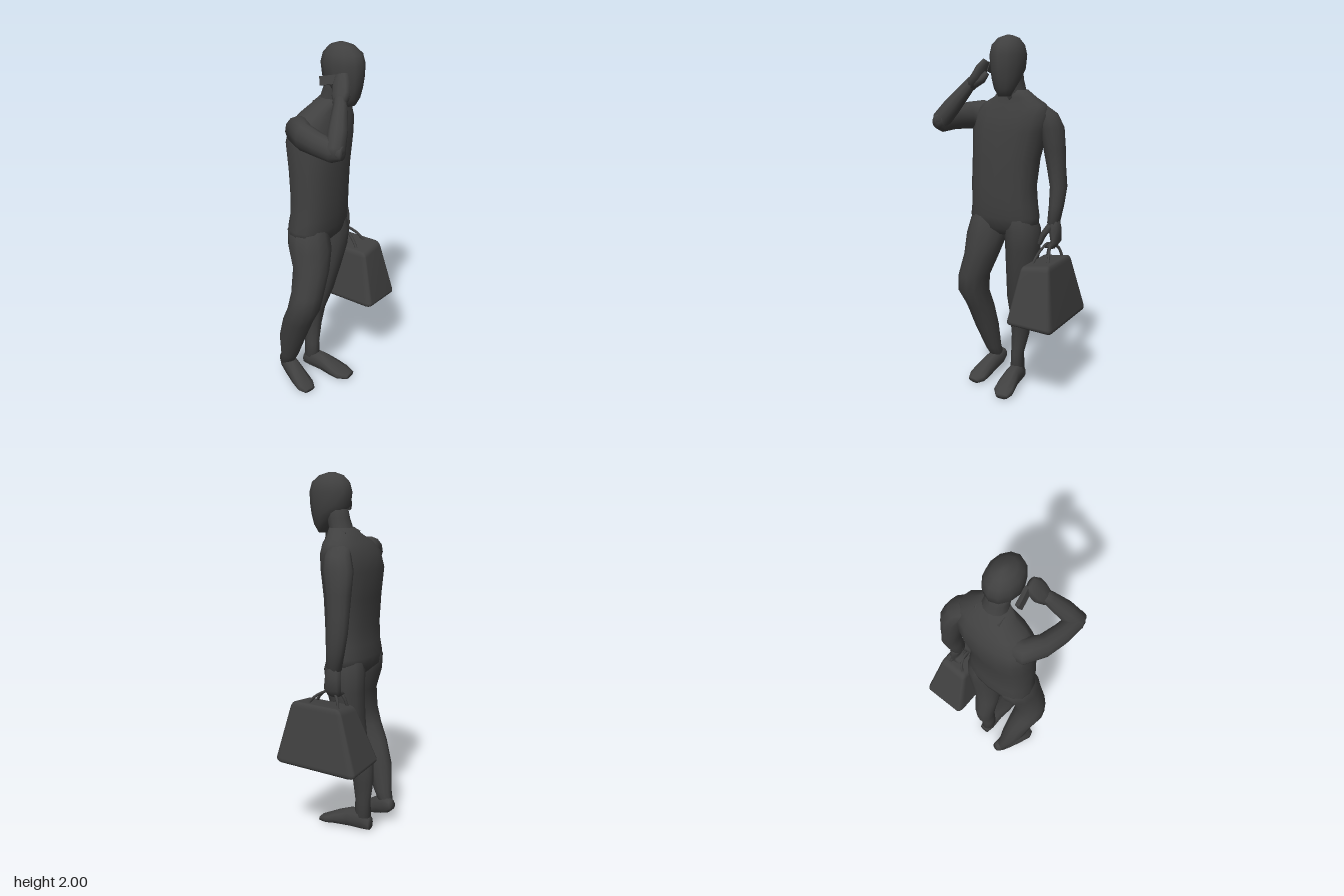
import * as THREE from 'three';
import { mergeVertices } from 'three/addons/utils/BufferGeometryUtils.js';
import { RoundedBoxGeometry } from 'three/addons/geometries/RoundedBoxGeometry.js';

const V = (x, y, z) => new THREE.Vector3(x, y, z);
const charcoal = new THREE.MeshStandardMaterial({ color: 0x404040 });
charcoal.name = 'charcoal';

// Closed loft through sections [x, y, z, half width, half depth].
// With an axis every ring is parallel; without one, rings follow the path.
function loft(sections, { axis = null, side = V(1, 0, 0), n = 12, square = 1 } = {}) {
  const centres = sections.map(s => V(s[0], s[1], s[2]));
  const pos = [], index = [], last = sections.length - 1;
  const power = c => Math.sign(c) * Math.pow(Math.abs(c), square);
  sections.forEach(([, , , a, b], i) => {
    const t = axis ? axis.clone()
      : centres[Math.min(i + 1, last)].clone().sub(centres[Math.max(i - 1, 0)]).normalize();
    const u = side.clone().addScaledVector(t, -side.dot(t)).normalize();
    const v = t.clone().cross(u);
    for (let j = 0; j < n; j++) {
      const w = (j / n) * Math.PI * 2;
      const p = centres[i].clone()
        .addScaledVector(u, a * power(Math.cos(w)))
        .addScaledVector(v, b * power(Math.sin(w)));
      pos.push(p.x, Math.max(p.y, 0), p.z);
      if (i < last) {
        const k = i * n + j, m = i * n + (j + 1) % n;
        index.push(k, m, m + n, k, m + n, k + n);
      }
    }
  });
  // end caps
  const first = pos.length / 3;
  [centres[0], centres[last]].forEach(c => pos.push(c.x, c.y, c.z));
  for (let j = 0; j < n; j++) {
    const m = (j + 1) % n;
    index.push(first, m, j, first + 1, last * n + j, last * n + m);
  }
  const g = new THREE.BufferGeometry();
  g.setAttribute('position', new THREE.Float32BufferAttribute(pos, 3));
  g.setIndex(index);
  g.computeVertexNormals();
  return g;
}

export function createModel() {
  const model = new THREE.Group();
  model.name = 'walkingMan';
  const add = (name, geometry) => {
    const mesh = new THREE.Mesh(geometry, charcoal);
    mesh.name = name;
    model.add(mesh);
    return mesh;
  };
  const level = { axis: V(0, 1, 0) };

  // Trunk, neck and head
  add('torso', loft([
    [-0.055, 0.93, -0.05, 0.12, 0.07], [-0.063, 0.97, -0.05, 0.195, 0.11],
    [-0.063, 1.03, -0.048, 0.2, 0.12],
    [-0.06, 1.1, -0.04, 0.19, 0.12], [-0.062, 1.2, -0.035, 0.187, 0.12],
    [-0.052, 1.35, -0.042, 0.193, 0.127], [-0.035, 1.5, -0.052, 0.212, 0.137],
    [-0.015, 1.59, -0.05, 0.218, 0.118], [0.0, 1.645, -0.04, 0.18, 0.095],
    [0.01, 1.68, -0.028, 0.12, 0.076], [0.013, 1.72, -0.01, 0.075, 0.058],
  ], { axis: V(0, 1, 0), n: 16, square: 0.84 }));
  add('neck', loft([
    [0.013, 1.64, -0.03, 0.085, 0.08], [0.013, 1.7, -0.012, 0.07, 0.062],
    [0.013, 1.77, 0.012, 0.062, 0.062], [0.013, 1.86, 0.035, 0.062, 0.065],
  ], level));
  add('head', loft([
    [0.013, 1.69, 0.102, 0.034, 0.026], [0.013, 1.73, 0.1, 0.056, 0.052],
    [0.013, 1.78, 0.078, 0.074, 0.088], [0.013, 1.83, 0.06, 0.085, 0.115],
    [0.013, 1.9, 0.057, 0.091, 0.121], [0.013, 1.95, 0.057, 0.08, 0.107],
    [0.013, 1.985, 0.053, 0.052, 0.068], [0.013, 2.0, 0.05, 0.014, 0.02],
  ], level));
  for (const s of [-1, 1]) {
    const tab = add(s < 0 ? 'rightCollar' : 'leftCollar', new THREE.BoxGeometry(0.022, 0.05, 0.05));
    tab.position.set(0.01 + s * 0.072, 1.685, -0.045);
    tab.rotation.set(-0.4, 0, s * 0.4);
  }

  // Left arm hanging, hand closed on the bag handles
  add('leftArm', loft([
    [0.215, 1.0, -0.09, 0.034, 0.042], [0.225, 1.1, -0.105, 0.04, 0.052],
    [0.23, 1.2, -0.118, 0.045, 0.06], [0.217, 1.3, -0.117, 0.05, 0.062],
    [0.207, 1.4, -0.112, 0.058, 0.07], [0.192, 1.52, -0.1, 0.066, 0.085],
    [0.165, 1.595, -0.082, 0.064, 0.07], [0.11, 1.645, -0.06, 0.055, 0.05],
  ], level));
  add('leftHand', loft([
    [0.214, 1.03, -0.09, 0.035, 0.035], [0.226, 0.96, -0.09, 0.05, 0.032],
    [0.232, 0.9, -0.09, 0.053, 0.024], [0.215, 0.872, -0.09, 0.05, 0.018],
    [0.18, 0.872, -0.09, 0.045, 0.014],
  ], { side: V(0, 0, 1), n: 8 }));
  add('leftThumb', loft([
    [0.21, 0.99, -0.06, 0.022, 0.02], [0.175, 0.94, -0.045, 0.018, 0.018],
    [0.155, 0.885, -0.04, 0.012, 0.012],
  ], { side: V(0, 0, 1), n: 6 }));

  // Right arm raised, hand beside the ear
  add('rightUpperArm', loft([
    [-0.1, 1.57, -0.07, 0.06, 0.06], [-0.205, 1.58, -0.06, 0.068, 0.078],
    [-0.258, 1.578, 0.02, 0.054, 0.072], [-0.283, 1.57, 0.12, 0.052, 0.062],
    [-0.295, 1.56, 0.22, 0.047, 0.058], [-0.293, 1.56, 0.272, 0.03, 0.035],
  ]));
  add('rightForearm', loft([
    [-0.31, 1.535, 0.24, 0.03, 0.03], [-0.295, 1.565, 0.23, 0.05, 0.05],
    [-0.24, 1.64, 0.205, 0.05, 0.046], [-0.165, 1.74, 0.165, 0.036, 0.032],
    [-0.145, 1.77, 0.15, 0.03, 0.028],
  ], { side: V(0, 0, 1), n: 10 }));
  add('rightHand', loft([
    [-0.16, 1.74, 0.16, 0.036, 0.03], [-0.125, 1.785, 0.143, 0.052, 0.03],
    [-0.105, 1.83, 0.13, 0.05, 0.026], [-0.085, 1.87, 0.115, 0.034, 0.014],
  ], { side: V(0, 0, 1), n: 8 }));
  add('rightThumb', loft([
    [-0.13, 1.75, 0.16, 0.022, 0.02], [-0.09, 1.775, 0.155, 0.022, 0.02],
    [-0.065, 1.81, 0.145, 0.014, 0.014],
  ], { side: V(0, 0, 1), n: 6 }));
  const fingers = add('rightFingers', new THREE.BoxGeometry(0.022, 0.045, 0.1));
  fingers.position.set(-0.098, 1.835, 0.055);
  fingers.rotation.set(-0.2, 0.2, -0.25);

  // Left leg straight, right leg bent with the heel lifted
  add('leftLeg', loft([
    [-0.025, 0.08, -0.13, 0.04, 0.05], [-0.025, 0.18, -0.13, 0.036, 0.046],
    [-0.01, 0.3, -0.14, 0.05, 0.06], [-0.003, 0.42, -0.13, 0.062, 0.07],
    [0.01, 0.55, -0.09, 0.074, 0.075], [0.03, 0.7, -0.07, 0.087, 0.09],
    [0.045, 0.85, -0.055, 0.096, 0.11], [0.046, 0.96, -0.05, 0.098, 0.118],
    [0.03, 1.04, -0.045, 0.085, 0.1], [0.02, 1.12, -0.04, 0.05, 0.06],
  ], level));
  add('rightLeg', loft([
    [-0.19, 0.1, -0.195, 0.036, 0.04], [-0.205, 0.18, -0.16, 0.046, 0.054],
    [-0.225, 0.33, -0.118, 0.067, 0.08], [-0.237, 0.47, -0.065, 0.076, 0.09],
    [-0.25, 0.57, -0.012, 0.088, 0.092], [-0.237, 0.67, 0.005, 0.09, 0.09],
    [-0.19, 0.8, -0.003, 0.1, 0.1], [-0.166, 0.92, -0.028, 0.116, 0.12],
    [-0.158, 1.01, -0.045, 0.103, 0.115], [-0.14, 1.12, -0.04, 0.06, 0.07],
  ], level));
  add('leftFoot', loft([
    [-0.025, 0.04, -0.18, 0.03, 0.036], [-0.025, 0.06, -0.13, 0.042, 0.06],
    [-0.02, 0.055, -0.05, 0.045, 0.055], [-0.014, 0.038, 0.03, 0.058, 0.038],
    [-0.008, 0.025, 0.08, 0.062, 0.026], [0.004, 0.015, 0.13, 0.038, 0.015],
  ], { axis: V(0, 0, 1), n: 10, square: 0.8 }));
  add('rightFoot', loft([
    [-0.172, 0.115, -0.24, 0.024, 0.028], [-0.185, 0.105, -0.2, 0.038, 0.052],
    [-0.205, 0.08, -0.14, 0.044, 0.052], [-0.225, 0.047, -0.07, 0.053, 0.04],
    [-0.237, 0.026, -0.02, 0.058, 0.026], [-0.246, 0.015, 0.018, 0.036, 0.015],
  ], { n: 10, square: 0.8 }));

  // Travel bag: a soft box tapered towards the top, one bottom edge higher
  const box = new RoundedBoxGeometry(1, 1, 1, 2, 0.09);
  box.deleteAttribute('normal');
  box.deleteAttribute('uv');
  const bag = mergeVertices(box, 1e-4);
  const p = bag.attributes.position;
  for (let i = 0; i < p.count; i++) {
    const x = p.getX(i), t = p.getY(i) + 0.5, z = p.getZ(i);
    p.setXYZ(i,
      0.206 + x * THREE.MathUtils.lerp(0.274, 0.165, t),
      THREE.MathUtils.lerp(0.47 - x * 0.02, 0.805 + x * 0.02, t),
      THREE.MathUtils.lerp(-0.035, -0.015, t) + z * THREE.MathUtils.lerp(0.52, 0.305, t));
  }
  bag.computeVertexNormals();
  add('bag', bag);

  // Bag handles meeting in the hand
  for (const s of [-1, 1]) {
    const x = 0.205 + s * 0.05;
    const path = new THREE.CatmullRomCurve3([
      V(x, 0.78, 0.07), V(0.205 + s * 0.03, 0.85, 0.01),
      V(0.2 + s * 0.012, 0.885, -0.07), V(0.205 + s * 0.03, 0.855, -0.12), V(x, 0.78, -0.14),
    ]);
    add(s < 0 ? 'innerHandle' : 'outerHandle', new THREE.TubeGeometry(path, 16, 0.008, 6));
  }
  return model;
}
